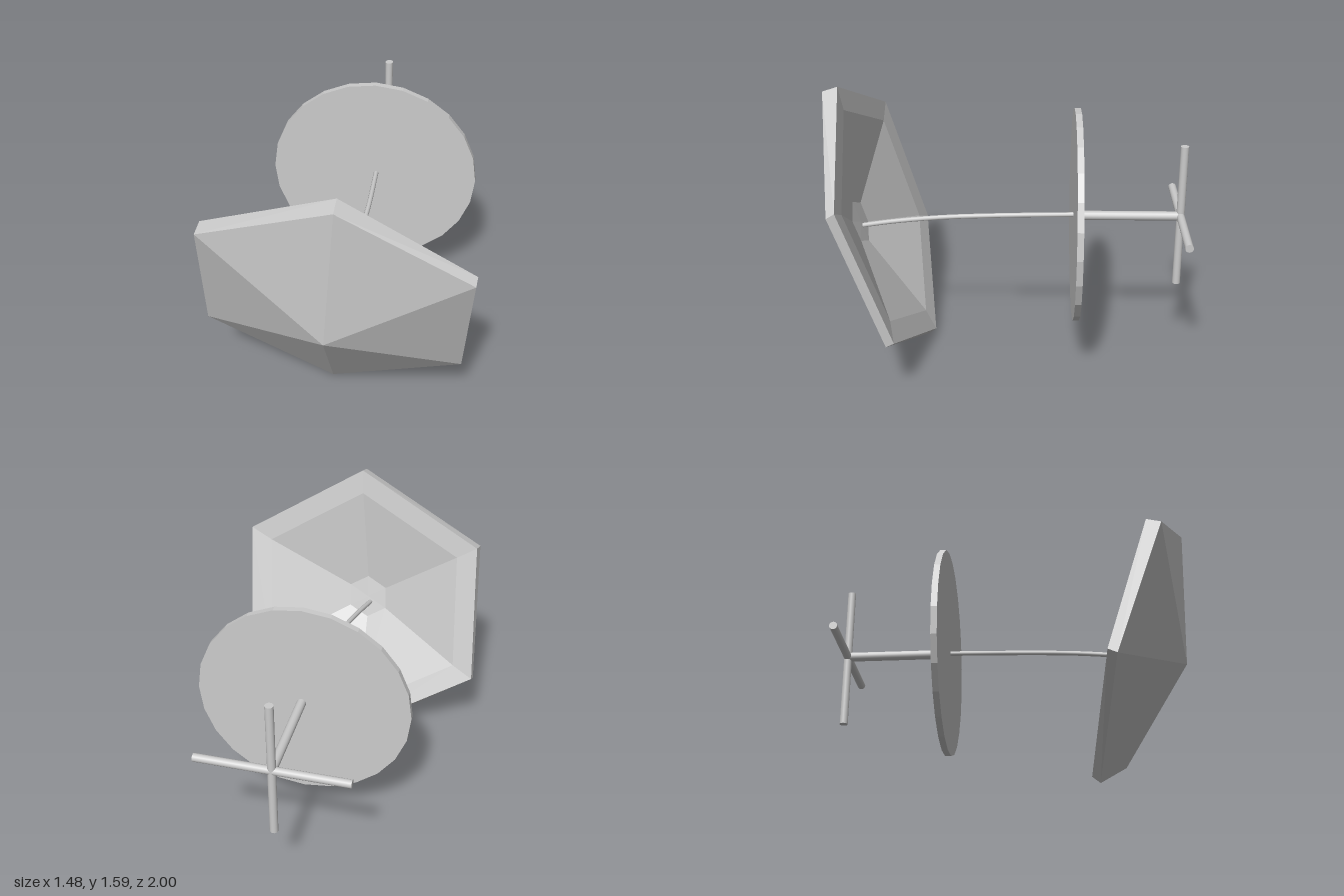
import * as THREE from 'three';

const V = (x, y, z) => new THREE.Vector3(x, y, z);
const smooth = new THREE.MeshStandardMaterial({ color: 0xcccccc });
const faceted = new THREE.MeshStandardMaterial({ color: 0xcccccc, flatShading: true });

function part(group, name, geometry, material) {
  const mesh = new THREE.Mesh(geometry, material);
  mesh.name = name;
  group.add(mesh);
  return mesh;
}

// Straight cylinder between two points
function bar(group, name, a, b, radius, sides, material) {
  const mesh = part(group, name, new THREE.CylinderGeometry(radius, radius, a.distanceTo(b), sides), material);
  mesh.position.copy(a).add(b).multiplyScalar(0.5);
  mesh.quaternion.setFromUnitVectors(V(0, 1, 0), b.clone().sub(a).normalize());
  return mesh;
}

// Closed flat-sided skin over six-point rings, running from the front tip to the hollow's floor
function skin(rings) {
  const points = [];
  for (let r = 0; r < rings.length - 1; r++) {
    const a = rings[r], b = rings[r + 1];
    for (let i = 0; i < 6; i++) {
      const j = (i + 1) % 6;
      if (r > 0) points.push(a[i], a[j], b[j]);
      if (r < rings.length - 2) points.push(a[i], b[j], b[i]);
    }
  }
  const geometry = new THREE.BufferGeometry().setFromPoints(points);
  geometry.computeVertexNormals();
  return geometry;
}

export function createModel() {
  const model = new THREE.Group();
  model.name = 'hexagonalShieldOnGrip';

  // Hexagonal shield: pyramid front, thin rim, hollow back
  const tip = V(-0.02, 0.70, 0.975);
  const frontRim = [
    V(0.045, 1.56, 1.0), V(0.73, 1.115, 0.90), V(0.68, 0.34, 0.635),
    V(-0.055, 0.0, 0.47), V(-0.74, 0.45, 0.57), V(-0.69, 1.23, 0.83),
  ];
  const backRim = [
    V(0.05, 1.59, 0.915), V(0.735, 1.145, 0.855), V(0.685, 0.365, 0.59),
    V(-0.045, 0.04, 0.425), V(-0.735, 0.475, 0.52), V(-0.68, 1.255, 0.75),
  ];
  const centre = V(0, 0.815, 0.68);
  const forward = V(-0.077, -0.32, 0.94);
  const inset = (shrink, depth) =>
    backRim.map((p) => p.clone().lerp(centre, shrink).addScaledVector(forward, depth));
  const floor = centre.clone().addScaledVector(forward, 0.17);
  part(model, 'shield', skin([
    Array(6).fill(tip), frontRim, backRim, inset(0.17, 0.015), inset(0.84, 0.17), Array(6).fill(floor),
  ]), faceted);

  // Curved stem from the disc to the shield
  const path = new THREE.CatmullRomCurve3([
    V(0.076, 0.855, -0.40), V(0.073, 0.845, 0.0), V(0.04, 0.815, 0.36),
    V(0.0, 0.77, 0.64), V(-0.033, 0.725, 0.845),
  ]);
  part(model, 'stem', new THREE.TubeGeometry(path, 20, 0.014, 8), smooth);

  // Round guard disc
  bar(model, 'disc', V(0.065, 0.852, -0.41), V(0.065, 0.852, -0.375), 0.597, 24, faceted);

  // Rear shaft and crossed handles
  const radius = 0.023, x = 0.075, y = 0.85, z = -0.977;
  bar(model, 'shaft', V(x, y, z), V(x, y, -0.39), 0.026, 16, smooth);
  bar(model, 'uprightHandle', V(x, 0.43, z), V(x, 1.268, z), radius, 16, smooth);
  bar(model, 'crossHandle', V(-0.344, y, z), V(0.494, y, z), radius, 16, smooth);

  return model;
}
